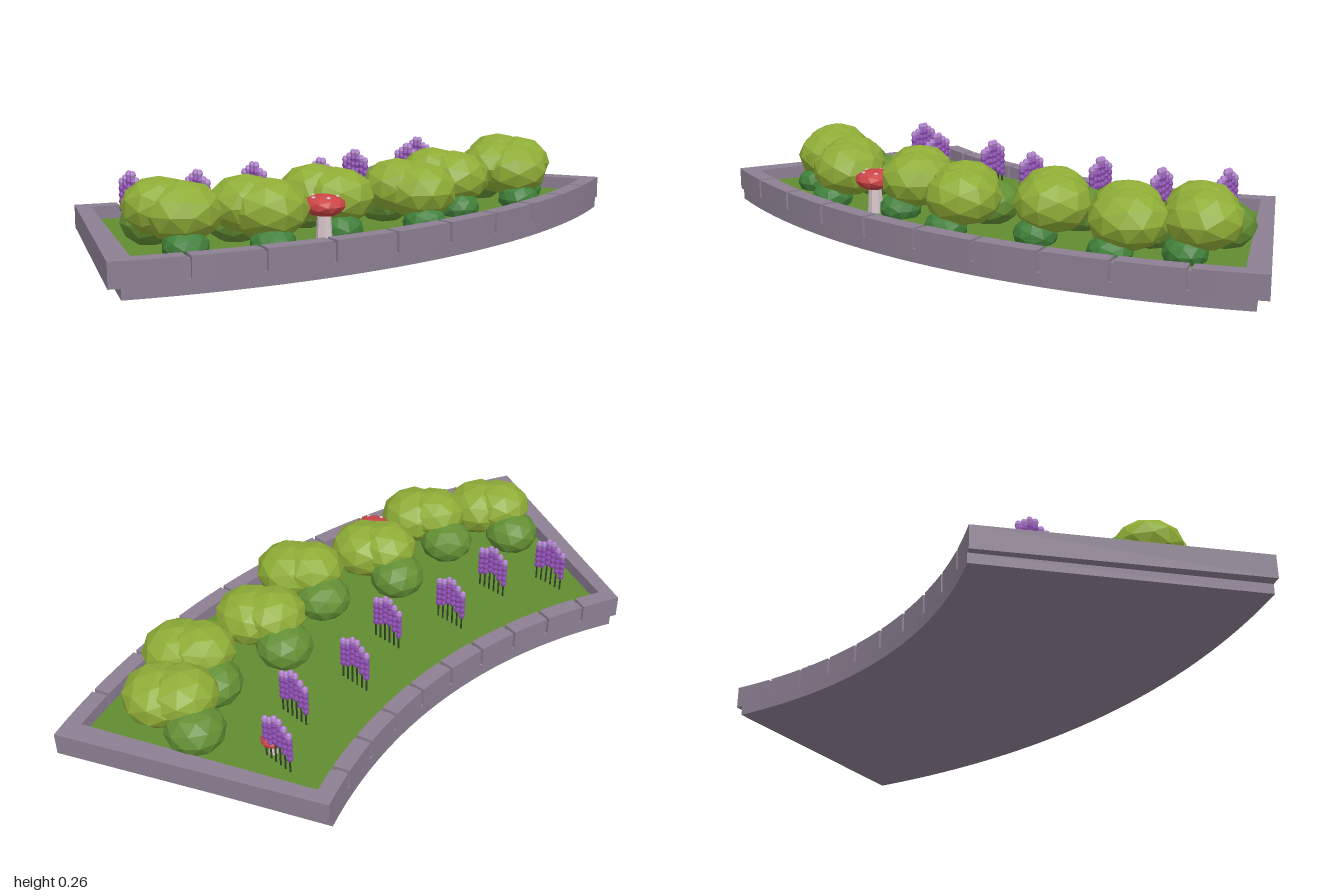
import * as THREE from 'three';

const mat = (name, color, flat = true) => {
  const m = new THREE.MeshStandardMaterial({ color, flatShading: flat });
  m.name = name;
  return m;
};

export function createModel() {
  const root = new THREE.Group();
  root.name = 'curvedFlowerBed';
  const M = {
    stone: mat('stone', 0x8c7f92),
    grass: mat('grass', 0x618c32),
    leafLight: mat('lightLeaf', 0x8fad37),
    leafMid: mat('midLeaf', 0x638f34),
    leafDark: mat('darkLeaf', 0x41803a),
    petal: mat('petal', 0x9050b4),
    petalTip: mat('paleTip', 0xb384cf),
    stalk: mat('stalk', 0x2c4424),
    cap: mat('redCap', 0xcc4446),
    pale: mat('paleSpot', 0xd6c6c8),
  };
  const add = (parent, name, geo, material, x = 0, y = 0, z = 0) => {
    const mesh = new THREE.Mesh(geo, material);
    mesh.name = name;
    mesh.position.set(x, y, z);
    parent.add(mesh);
    return mesh;
  };

  // Bed: ring sectors about a far centre on the -x side
  const CX = -1.88, R_IN = 1.538, R_OUT = 2.366, WALL = 0.05, DEG = Math.PI / 180;
  const sector = (name, material, r0, r1, a0, a1, y0, y1) => {
    const s = new THREE.Shape();
    const n = Math.max(1, Math.round((a1 - a0) / 1.7));
    for (let i = 0; i <= n; i++) {
      const a = (a0 + (a1 - a0) * i / n) * DEG;
      s[i ? 'lineTo' : 'moveTo'](r1 * Math.cos(a), r1 * Math.sin(a));
    }
    for (let i = n; i >= 0; i--) {
      const a = (a0 + (a1 - a0) * i / n) * DEG;
      s.lineTo(r0 * Math.cos(a), r0 * Math.sin(a));
    }
    const g = new THREE.ExtrudeGeometry(s, { depth: y1 - y0, bevelEnabled: false });
    g.rotateX(-Math.PI / 2);
    add(root, name, g, material, CX, y0, 0);
  };
  sector('base', M.stone, R_IN, R_OUT, -24.2, 24.2, 0, 0.03);
  sector('lawn', M.grass, R_IN + WALL, R_OUT - WALL, -23.4, 23.4, 0.03, 0.06);

  // Curved walls: a slightly recessed core with blocks separated by joints
  for (const [name, r0] of [['innerWall', R_IN], ['outerWall', R_OUT - WALL]]) {
    const r1 = r0 + WALL, gap = 0.006 / r0 / DEG;
    sector(name + 'Foot', M.stone, r0, r1, -23.4, 23.4, 0.03, 0.04);
    sector(name + 'Core', M.stone, r0 + 0.01, r1 - 0.01, -23.4, 23.4, 0.04, 0.09);
    for (let i = 0; i < 10; i++) {
      const a = -25 + i * 5;
      sector(name + 'Block', M.stone, r0, r1,
        i === 0 ? -23.4 : a + gap, i === 9 ? 23.4 : a + 5 - gap, 0.04, 0.1);
    }
  }
  // Straight end walls
  sector('frontEndWall', M.stone, R_IN, R_OUT, -25, -23.4, 0.03, 0.1);
  sector('backEndWall', M.stone, R_IN, R_OUT, 23.4, 25, 0.03, 0.1);

  // Bushes: faceted lumps in three greens
  const lump = new THREE.IcosahedronGeometry(1, 1);
  const lumps = [
    ['crownLarge', M.leafLight, 0, 0.168, 0, 0.115, 0.086],
    ['crownFront', M.leafLight, -0.055, 0.18, 0.035, 0.106, 0.082],
    ['innerLump', M.leafMid, -0.14, 0.122, 0.005, 0.09, 0.07],
    ['outerLump', M.leafDark, 0.05, 0.083, 0.025, 0.066, 0.05],
  ];
  const bushes = [[0.12, -0.725], [0.24, -0.56], [0.22, -0.295], [0.315, -0.042],
    [0.23, 0.213], [0.255, 0.483], [0.13, 0.68]];
  bushes.forEach(([bx, bz], i) => {
    const bush = new THREE.Group();
    bush.name = 'bush';
    bush.position.set(bx, 0, bz);
    lumps.forEach(([name, m, x, y, z, r, h], j) => {
      const l = add(bush, name, lump, m, x, y, z);
      l.scale.set(r, h, r);
      l.rotation.y = i * 0.9 + j * 1.3;
    });
    root.add(bush);
  });

  // Flower clumps: a flat row of beaded spikes on thin stalks
  const bead = new THREE.SphereGeometry(1, 6, 4);
  const stalkGeo = new THREE.CylinderGeometry(0.003, 0.003, 1, 5);
  const lift = [0, 0.015, 0.033, 0.033, 0.012, 0.004];
  const clumps = [[-0.24, -0.608], [-0.13, -0.445], [-0.147, -0.215], [-0.075, 0],
    [-0.147, 0.213], [-0.13, 0.44], [-0.24, 0.602]];
  for (const [fx, fz] of clumps) {
    const clump = new THREE.Group();
    clump.name = 'flowerClump';
    clump.position.set(fx, 0, fz);
    lift.forEach((up, i) => {
      const x = (i - 2.5) * 0.0195, y0 = 0.112 + up * 0.8;
      const h = y0 - 0.055;
      add(clump, 'stalk', stalkGeo, M.stalk, x, 0.055 + h / 2, 0).scale.y = h;
      for (let k = 0; k < 5; k++) {
        const b = add(clump, 'blossom', bead, k > 3 ? M.petalTip : M.petal, x, y0 + k * 0.0195, 0);
        b.scale.set(0.0105, 0.0135, 0.0105);
      }
    });
    root.add(clump);
  }

  // Toadstools: stem, flattened cap and pale spots
  const toadstool = (x, y, z, r) => {
    const t = new THREE.Group();
    t.name = 'toadstool';
    t.position.set(x, 0, z);
    const h = y - 0.055, ch = r * 0.52;
    add(t, 'stem', new THREE.CylinderGeometry(r * 0.3, r * 0.4, h, 7), M.pale, 0, 0.055 + h / 2, 0);
    add(t, 'cap', lump, M.cap, 0, y, 0).scale.set(r, ch, r);
    for (let i = 0; i < 5; i++) {
      const a = i * 1.257 + 0.4, k = 0.6;
      const s = add(t, 'spot', lump, M.pale, Math.cos(a) * r * k, y + ch * 0.76, Math.sin(a) * r * k);
      s.scale.set(r * 0.1, r * 0.06, r * 0.1);
    }
    root.add(t);
  };
  toadstool(0.303, 0.165, 0.322, 0.062);
  toadstool(-0.197, 0.11, -0.588, 0.036);

  return root;
}
